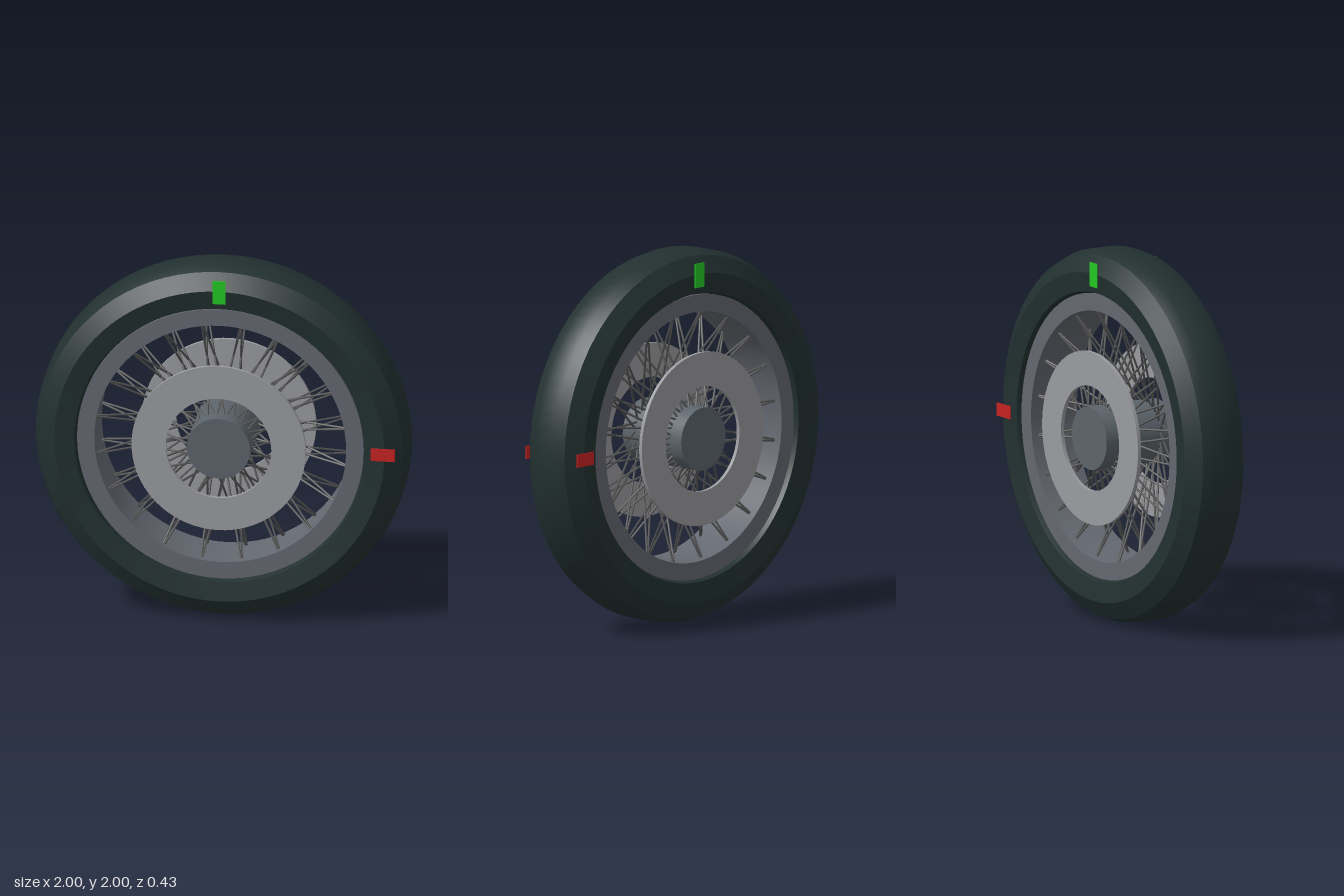
import * as THREE from 'three';
import { toCreasedNormals } from 'three/addons/utils/BufferGeometryUtils.js';

const mat = (name, color) => {
  const m = new THREE.MeshStandardMaterial({ color });
  m.name = name;
  return m;
};

export function createModel() {
  const rubber = mat('rubber', 0x223030);
  const rimMetal = mat('rimMetal', 0x646870);
  const hubMetal = mat('hubMetal', 0x5c646b);
  const discMetal = mat('discMetal', 0x9a9b9f);
  const spokeMetal = mat('spokeMetal', 0x555555);
  const red = mat('redMark', 0xc82222);
  const green = mat('greenMark', 0x22c822);

  const wheel = new THREE.Group();
  wheel.name = 'wheel';
  wheel.position.y = 1;

  const add = (name, geometry, material, parent = wheel) => {
    const mesh = new THREE.Mesh(geometry, material);
    mesh.name = name;
    parent.add(mesh);
    return mesh;
  };

  // Ring turned around the z axle from a closed [radius, z] profile
  const turned = (profile, segments = 80) => {
    const points = [...profile, profile[0]].map(([r, z]) => new THREE.Vector2(r, z));
    const geo = new THREE.LatheGeometry(points, segments).rotateX(Math.PI / 2);
    return toCreasedNormals(geo, 0.6);
  };
  const band = (inner, outer, z0, z1) =>
    turned([[inner, z0], [outer, z0], [outer, z1], [inner, z1]]);

  // Tyre with a bevelled tread and sidewalls leaning inward
  const half = [[1, 0.065], [0.975, 0.128], [0.885, 0.185], [0.78, 0.168], [0.765, 0.12]];
  const mirrored = half.map(([r, z]) => [r, -z]).reverse();
  add('tyre', turned([...mirrored, ...half]), rubber);

  // Rim barrel
  add('rim', band(0.675, 0.768, -0.145, 0.145), rimMetal);

  // Hub
  const hub = new THREE.CylinderGeometry(0.17, 0.17, 0.43, 48).rotateX(Math.PI / 2);
  add('hub', hub, hubMetal);

  // Brake discs on both sides
  add('frontDisc', band(0.283, 0.467, 0.19, 0.21), discMetal);
  add('backDisc', band(0.283, 0.467, -0.21, -0.19), discMetal);

  // Crossed spokes: four meet at each of twenty places on the rim
  const spokes = new THREE.Group();
  spokes.name = 'spokes';
  wheel.add(spokes);
  const polar = (r, a, z) => new THREE.Vector3(r * Math.cos(a), r * Math.sin(a), z);
  const up = new THREE.Vector3(0, 1, 0);
  const rod = new THREE.CylinderGeometry(0.006, 0.006, 1, 6);
  const step = Math.PI / 10;
  for (let i = 0; i < 20; i++) {
    const angle = (i + 0.5) * step;
    for (const side of [-1, 1]) {
      for (const lean of [-1, 1]) {
        const from = polar(0.165, angle + lean * 0.27, side * 0.13);
        const to = polar(0.68, angle + lean * 0.004, -side * 0.1);
        const dir = to.clone().sub(from);
        const spoke = add('spoke', rod, spokeMetal, spokes);
        spoke.position.copy(from).add(to).multiplyScalar(0.5);
        spoke.scale.y = dir.length();
        spoke.quaternion.setFromUnitVectors(up, dir.normalize());
      }
    }
  }

  // Thin marks on both sidewalls
  for (const side of [-1, 1]) {
    add('redMark', new THREE.BoxGeometry(0.13, 0.07, 0.006), red).position.set(0.877, 0, side * 0.187);
    add('greenMark', new THREE.BoxGeometry(0.07, 0.13, 0.006), green).position.set(0, 0.88, side * 0.187);
  }

  const model = new THREE.Group();
  model.name = 'spokedWheel';
  model.add(wheel);
  return model;
}
